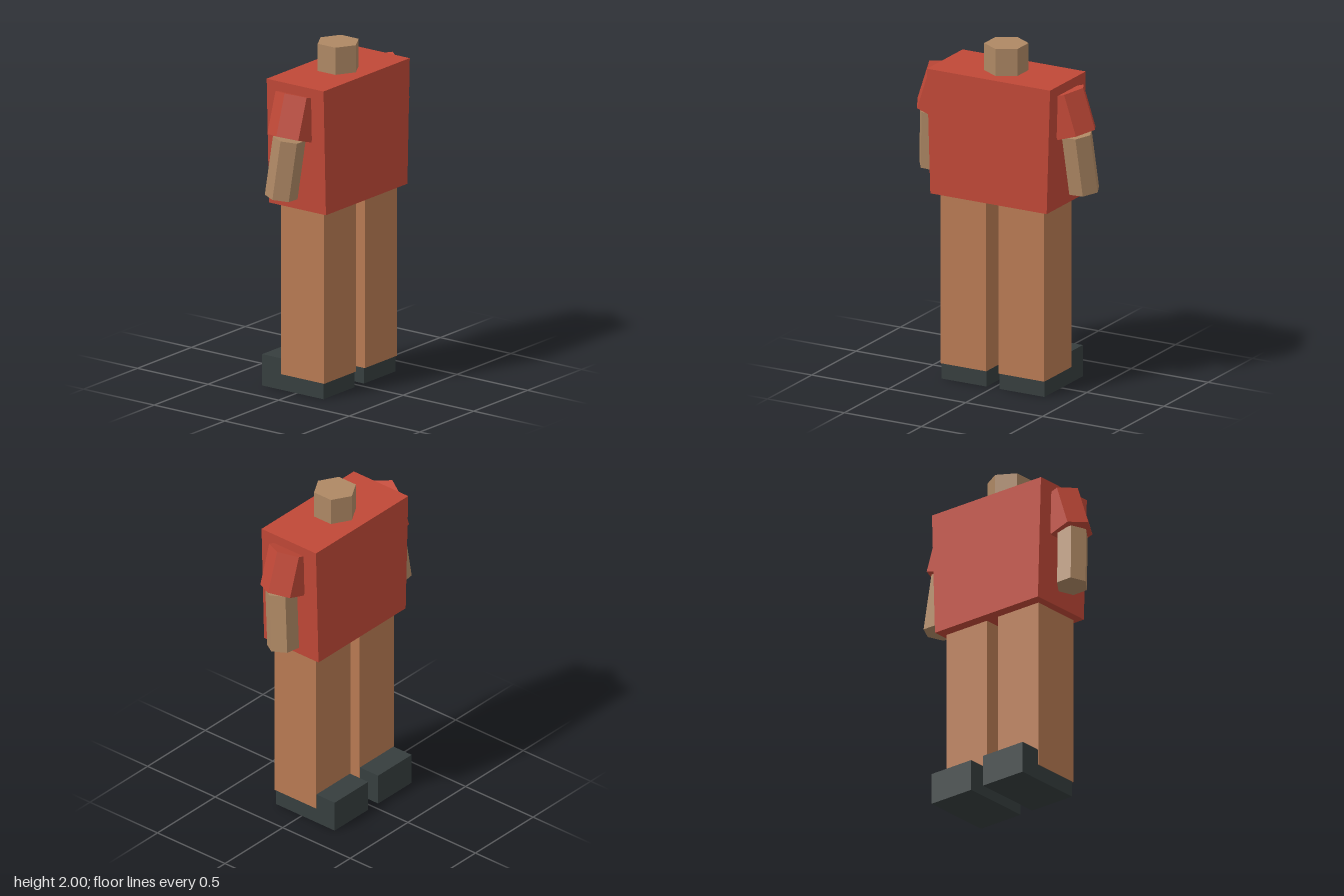
import * as THREE from 'three';

const flat = (name, color) => {
  const m = new THREE.MeshStandardMaterial({ color });
  m.name = name;
  return m;
};

export function createModel() {
  const group = new THREE.Group();
  const red = flat('shirtRed', 0xc04837);
  const skin = flat('skin', 0xae8864);
  const tan = flat('trouserTan', 0xb87a53);
  const dark = flat('shoeDark', 0x363e3e);

  const add = (name, geometry, material) => {
    const mesh = new THREE.Mesh(geometry, material);
    mesh.name = name;
    group.add(mesh);
    return mesh;
  };

  // box given by its min and max corners
  const box = (name, a, b, material) =>
    add(name, new THREE.BoxGeometry(b[0] - a[0], b[1] - a[1], b[2] - a[2]), material)
      .position.set((a[0] + b[0]) / 2, (a[1] + b[1]) / 2, (a[2] + b[2]) / 2);

  // six-sided prism between two centres, turned by yaw degrees about its axis
  const prism = (name, from, to, radius, yaw, material) => {
    const a = new THREE.Vector3(...from);
    const b = new THREE.Vector3(...to);
    const dir = b.clone().sub(a);
    const g = new THREE.CylinderGeometry(radius, radius, dir.length(), 6)
      .rotateY(THREE.MathUtils.degToRad(yaw)).toNonIndexed();
    g.computeVertexNormals();
    const mesh = add(name, g, material);
    mesh.position.copy(a).add(b).multiplyScalar(0.5);
    mesh.quaternion.setFromUnitVectors(new THREE.Vector3(0, 1, 0), dir.normalize());
  };

  // torso, slightly narrower at the hem
  const torso = new THREE.BoxGeometry(0.8, 0.735, 0.403);
  const p = torso.attributes.position;
  for (let i = 0; i < p.count; i++) if (p.getY(i) < 0) p.setX(i, Math.sign(p.getX(i)) * 0.378);
  torso.computeVertexNormals();
  add('torso', torso, red).position.set(0, 1.4725, 0.0405);

  prism('neck', [0, 1.8, 0.04], [0, 2, 0.04], 0.125, 0, skin);

  // arms, legs and shoes, mirrored
  for (const s of [1, -1]) {
    const side = s > 0 ? 'left' : 'right';
    prism(side + 'Sleeve', [s * 0.456, 1.541, 0.042], [s * 0.379, 1.776, 0.042], 0.127, 30, red);
    prism(side + 'Forearm', [s * 0.487, 1.196, 0.008], [s * 0.46, 1.541, 0.045], 0.093, s * 25, skin);
    const span = (inner, outer) => (s > 0 ? [inner, outer] : [-outer, -inner]);
    const [l0, l1] = span(0.04, 0.337);
    box(side + 'Leg', [l0, 0.093, -0.108], [l1, 1.098, 0.198], tan);
    const [f0, f1] = span(0.043, 0.334);
    box(side + 'Shoe', [f0, 0, -0.243], [f1, 0.185, 0.19], dark);
  }
  return group;
}
